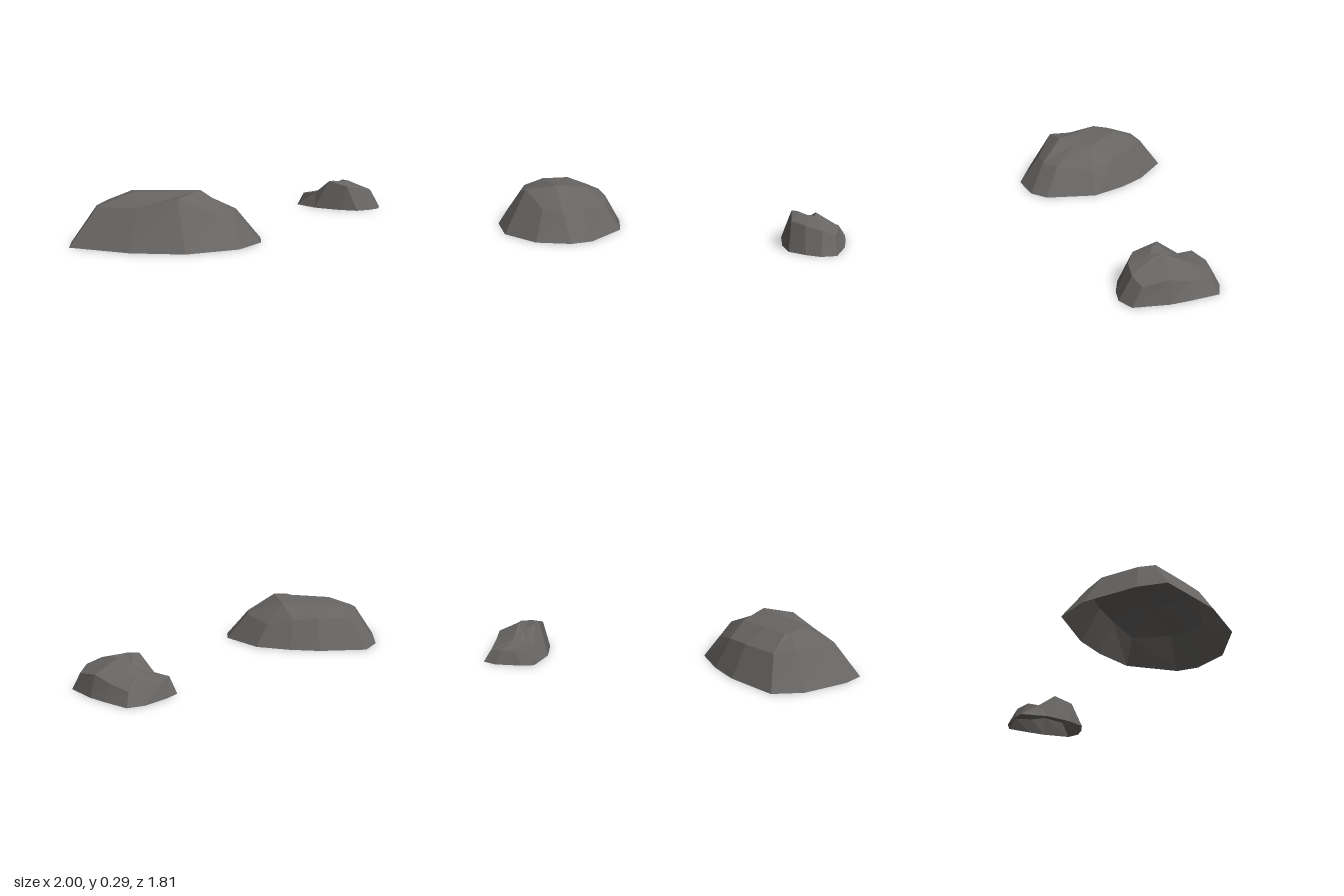
import * as THREE from 'three';

// Builds an open-bottomed faceted shell from matching rings, closed with a fan on top.
function shell(rings, material, name) {
  const pos = [];
  const tri = (...pts) => pts.forEach((p) => pos.push(...p));
  const n = rings[0].length;
  for (let r = 0; r + 1 < rings.length; r++) {
    const lo = rings[r], hi = rings[r + 1];
    for (let i = 0; i < n; i++) {
      const j = (i + 1) % n;
      if (lo[i] !== lo[j]) tri(lo[j], lo[i], hi[i]);
      if (String(hi[i]) !== String(hi[j])) tri(lo[j], hi[i], hi[j]);
    }
  }
  const top = rings[rings.length - 1];
  const centre = [0, 1, 2].map((k) => top.reduce((s, p) => s + p[k], 0) / n);
  for (let i = 0; i < n; i++) {
    const j = (i + 1) % n;
    if (String(top[i]) !== String(top[j])) tri(top[j], top[i], centre);
  }
  const geo = new THREE.BufferGeometry();
  geo.setAttribute('position', new THREE.Float32BufferAttribute(pos, 3));
  geo.computeVertexNormals();
  const mesh = new THREE.Mesh(geo, material);
  mesh.name = name;
  return mesh;
}

export function createModel() {
  const group = new THREE.Group();
  group.name = 'rocks';
  const stone = new THREE.MeshStandardMaterial({
    color: 0x676563, flatShading: true, side: THREE.DoubleSide,
  });
  stone.name = 'stone grey';

  // Large rock: ground outline, shoulder and crown
  const peak = [-0.29, 0.29, 0.59];
  const backPeak = [-0.32, 0.26, 0.38];
  const leftPeak = [-0.67, 0.27, 0.53];
  const large = [
    [[-0.83, 0, 0.08], [-0.52, 0, 0.08], [-0.33, 0, 0.13], [-0.12, 0, 0.23],
      [0.05, 0, 0.5], [0.04, 0, 0.63], [-0.09, 0, 0.8], [-0.37, 0, 0.9],
      [-0.66, 0, 0.85], [-0.99, 0, 0.69], [-1, 0, 0.54], [-0.94, 0, 0.24]],
    [[-0.74, 0.19, 0.19], [-0.52, 0.19, 0.19], [-0.36, 0.18, 0.22], [-0.2, 0.14, 0.29],
      [-0.09, 0.17, 0.5], [-0.11, 0.17, 0.62], [-0.2, 0.17, 0.71], [-0.41, 0.26, 0.74],
      [-0.62, 0.21, 0.7], [-0.85, 0.2, 0.6], [-0.86, 0.2, 0.51], [-0.82, 0.2, 0.3]],
    [[-0.68, 0.26, 0.35], [-0.5, 0.26, 0.36], backPeak, backPeak,
      [-0.31, 0.27, 0.48], peak, peak, peak,
      leftPeak, leftPeak, leftPeak, [-0.69, 0.26, 0.4]],
  ];
  group.add(shell(large, stone, 'largeRock'));

  // Small rock: steep front ridge with a low shelf behind it
  const ridge = [0.74, 0.19, -0.62];
  const shelf = [0.57, 0.1, -0.7];
  const small = [
    [[0.69, 0, -0.91], [0.81, 0, -0.8], [0.89, 0, -0.72], [1, 0, -0.56],
      [0.97, 0, -0.47], [0.9, 0, -0.42], [0.8, 0, -0.38], [0.68, 0, -0.43],
      [0.53, 0, -0.54], [0.43, 0, -0.7], [0.48, 0, -0.77], [0.6, 0, -0.88]],
    [[0.68, 0.07, -0.86], [0.78, 0.09, -0.77], [0.86, 0.12, -0.7], [0.95, 0.1, -0.59],
      [0.92, 0.13, -0.52], [0.84, 0.15, -0.46], [0.74, 0.16, -0.44], [0.63, 0.19, -0.53],
      [0.55, 0.1, -0.62], [0.47, 0.09, -0.67], [0.52, 0.08, -0.77], [0.6, 0.08, -0.83]],
    [[0.64, 0.12, -0.72], [0.7, 0.16, -0.66], ridge, ridge,
      [0.78, 0.185, -0.58], [0.76, 0.185, -0.55], [0.7, 0.19, -0.53], [0.66, 0.19, -0.55],
      [0.59, 0.11, -0.66], shelf, shelf, [0.62, 0.11, -0.73]],
  ];
  group.add(shell(small, stone, 'smallRock'));

  return group;
}
